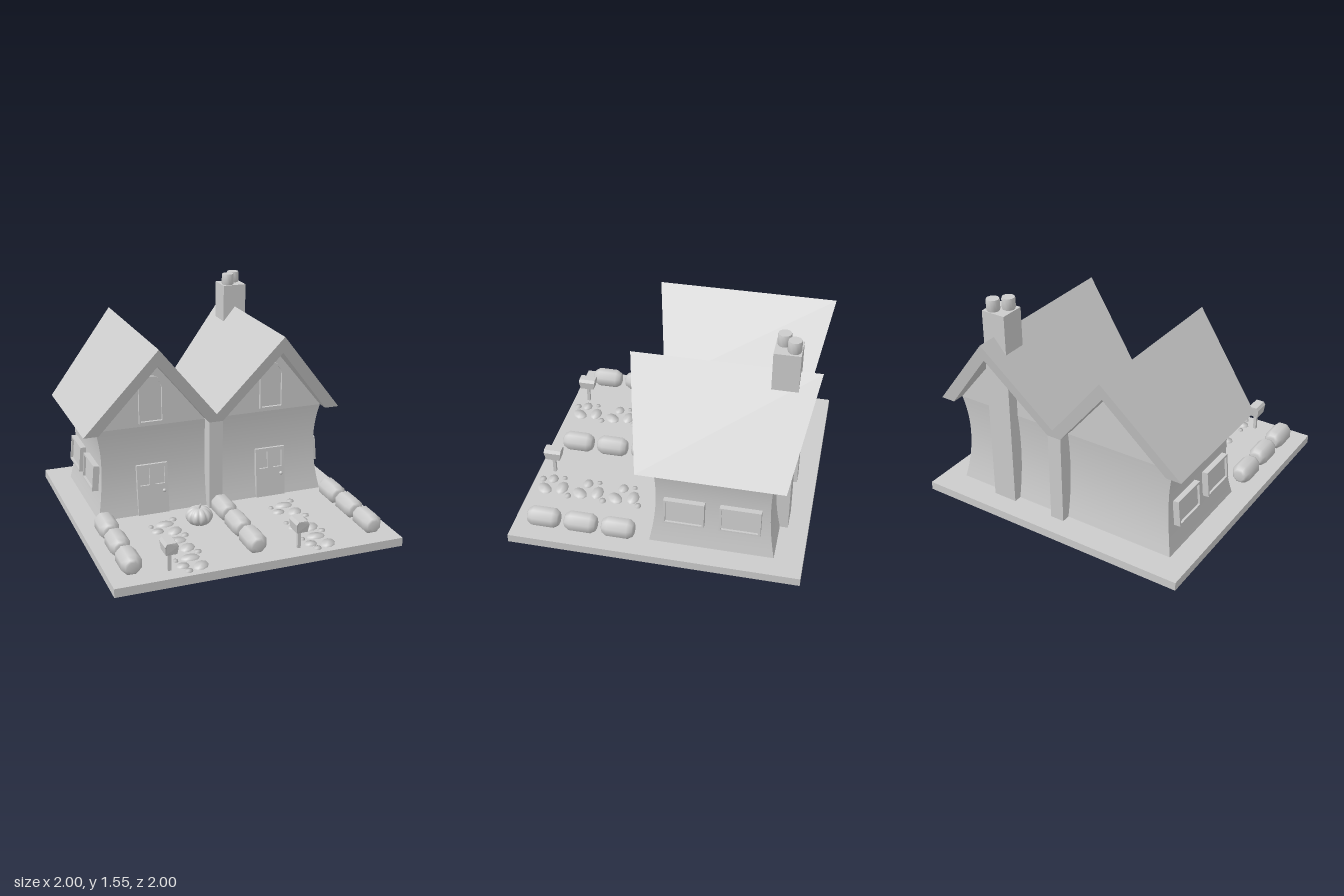
import * as THREE from 'three';
import { toCreasedNormals } from 'three/addons/utils/BufferGeometryUtils.js';

const MAT = new THREE.MeshStandardMaterial({ color: 0xcccccc });
const GROUND = 0.06, EAVE = 0.71, MID_Z = -0.38;

function add(parent, name, geo, x = 0, y = 0, z = 0) {
  const m = new THREE.Mesh(geo, MAT);
  m.name = name;
  m.position.set(x, y, z);
  parent.add(m);
  return m;
}

const polygon = pts => new THREE.Shape(pts.map(p => new THREE.Vector2(...p)));
const rect = (x0, y0, x1, y1) => polygon([[x0, y0], [x1, y0], [x1, y1], [x0, y1]]);
const extrude = (shape, depth) => new THREE.ExtrudeGeometry(shape, { depth, bevelEnabled: false, curveSegments: 8 });

// Box given by its minimum and maximum corners
function block(parent, name, [x0, y0, z0], [x1, y1, z1]) {
  return add(parent, name, new THREE.BoxGeometry(x1 - x0, y1 - y0, z1 - z0),
    (x0 + x1) / 2, (y0 + y1) / 2, (z0 + z1) / 2);
}

// Walls that pinch in at mid height and flare at foot and eaves
function wallGeometry() {
  const geo = new THREE.BoxGeometry(2, EAVE - GROUND, 2, 1, 14, 1);
  geo.translate(0, (EAVE + GROUND) / 2, 0);
  const p = geo.attributes.position;
  for (let i = 0; i < p.count; i++) {
    const y = p.getY(i), t = y > 0.44 ? (y - 0.44) / 0.27 : (0.44 - y) / 0.38;
    const f = t * t;
    p.setX(i, p.getX(i) * (0.803 + f * (y > 0.44 ? 0.037 : 0.042)));
    p.setZ(i, p.getZ(i) * (0.383 + f * (y > 0.44 ? 0.017 : 0.042)) + MID_Z);
  }
  geo.computeVertexNormals();
  return geo;
}

// Twin-gabled roof; its ends lean out towards the ridges
function roofGeometry() {
  const geo = extrude(polygon([
    [-0.945, 0.71], [-0.84, 0.71], [-0.45, 1.19], [-0.05, 0.71], [0.05, 0.71], [0.45, 1.19],
    [0.84, 0.71], [0.945, 0.71], [0.45, 1.31], [0, 0.77], [-0.45, 1.31]]), 1);
  const p = geo.attributes.position;
  for (let i = 0; i < p.count; i++) {
    const half = 0.487 + (p.getY(i) - EAVE) / 0.6 * 0.133;
    p.setZ(i, MID_Z + (p.getZ(i) > 0.5 ? half : -half));
  }
  geo.computeVertexNormals();
  return geo;
}

function arch(w, h, rise) {
  const s = new THREE.Shape();
  s.moveTo(-w, 0);
  s.lineTo(w, 0);
  s.lineTo(w, h - rise);
  s.bezierCurveTo(w * 0.85, h - rise * 0.3, w * 0.45, h, 0, h);
  s.bezierCurveTo(-w * 0.45, h, -w * 0.85, h - rise * 0.3, -w, h - rise);
  return s;
}

function door(parent, x) {
  const g = new THREE.Group();
  g.name = 'door';
  const leaf = rect(-0.112, 0, 0.112, 0.365);
  leaf.holes.push(rect(-0.09, 0.215, -0.02, 0.34), rect(0.02, 0.215, 0.09, 0.34));
  add(g, 'doorLeaf', extrude(leaf, 0.045), 0, 0, -0.025);
  add(g, 'doorPanels', new THREE.BoxGeometry(0.19, 0.14, 0.02), 0, 0.277, -0.006);
  add(g, 'doorKnob', new THREE.SphereGeometry(0.013, 12, 8), 0.08, 0.165, 0.028);
  g.position.set(x, GROUND, 0.04);
  g.rotation.x = -0.09;
  parent.add(g);
}

function archedWindow(parent, x) {
  const g = new THREE.Group();
  g.name = 'archedWindow';
  const frame = arch(0.088, 0.335, 0.08);
  frame.holes.push(new THREE.Path(arch(0.076, 0.311, 0.073).getPoints(8).map(p => p.setY(p.y + 0.012))));
  add(g, 'archedFrame', extrude(frame, 0.03));
  add(g, 'archedPane', extrude(arch(0.08, 0.325, 0.075), 0.01));
  g.position.set(x, 0.735, 0.012);
  parent.add(g);
}

function sideWindow(parent, side, z) {
  const g = new THREE.Group();
  g.name = 'sideWindow';
  const frame = rect(-0.138, -0.092, 0.138, 0.092);
  frame.holes.push(rect(-0.124, -0.078, 0.124, 0.078));
  add(g, 'windowFrame', extrude(frame, 0.045));
  add(g, 'windowPane', new THREE.BoxGeometry(0.26, 0.17, 0.028), 0, 0, 0.014);
  g.position.set(side * 0.808, 0.337, z);
  g.rotation.order = 'YXZ';
  g.rotation.set(-0.09, side * Math.PI / 2, 0);
  parent.add(g);
}

function mailbox(parent, x) {
  const g = new THREE.Group();
  g.name = 'mailbox';
  block(g, 'mailboxPost', [-0.011, GROUND, -0.011], [0.011, 0.2, 0.011]);
  const geo = extrude(polygon([[-0.038, 0.19], [0.038, 0.19], [0.045, 0.25], [0.03, 0.272], [-0.03, 0.272], [-0.045, 0.25]]), 0.124);
  geo.translate(0, 0, -0.062);
  const p = geo.attributes.position;
  for (let i = 0; i < p.count; i++) if (p.getY(i) < 0.2) p.setZ(i, p.getZ(i) * 0.83);
  geo.computeVertexNormals();
  add(g, 'mailboxBody', geo);
  g.position.set(x, 0, 0.883);
  parent.add(g);
}

// Ribbed fruit with a dimpled crown and bent stem
function pumpkin(parent, x, z) {
  const g = new THREE.Group();
  g.name = 'pumpkin';
  const geo = new THREE.SphereGeometry(1, 60, 20), p = geo.attributes.position;
  for (let i = 0; i < p.count; i++) {
    const a = Math.atan2(p.getZ(i), p.getX(i)), y = p.getY(i);
    const r = Math.hypot(p.getX(i), p.getZ(i));
    const rib = 0.85 + 0.15 * Math.sqrt(Math.abs(Math.sin(5 * a)));
    p.setXYZ(i, p.getX(i) * rib * 0.095, y * 0.068 - Math.sign(y) * 0.015 * Math.exp(-r * r * 12), p.getZ(i) * rib * 0.095);
  }
  geo.computeVertexNormals();
  add(g, 'pumpkinBody', geo, 0, 0.066, 0);
  const path = new THREE.QuadraticBezierCurve3(new THREE.Vector3(0, 0.11, 0),
    new THREE.Vector3(0, 0.135, 0), new THREE.Vector3(0.012, 0.15, 0.005));
  add(g, 'pumpkinStem', new THREE.TubeGeometry(path, 6, 0.007, 6));
  g.position.set(x, GROUND, z);
  parent.add(g);
}

// Eight-sided clipped hedge lying along z
const hedgeGeo = new THREE.LatheGeometry(
  [[0, -0.113], [0.036, -0.113], [0.052, -0.104], [0.073, -0.07], [0.073, 0.07], [0.052, 0.104], [0.036, 0.113], [0, 0.113]]
    .map(p => new THREE.Vector2(...p)), 8, Math.PI / 8);
hedgeGeo.rotateX(Math.PI / 2);

const stoneGeo = toCreasedNormals(new THREE.CylinderGeometry(0.87, 1, 0.012, 9), 0.5);

function stonePath(parent, x) {
  const g = new THREE.Group();
  g.name = 'stonePath';
  const stone = (sx, sz, rx, rz, turn = 0) => {
    const m = add(g, 'steppingStone', stoneGeo, x + sx, GROUND + 0.005, sz);
    m.scale.set(rx, 1, rz);
    m.rotation.y = turn;
  };
  for (let k = 0; k < 3; k++) {
    const d = k * 0.262;
    stone(0.015, 0.252 + d, 0.066, 0.045);
    stone(-0.066, 0.343 + d, 0.045, 0.038);
    stone(0.045, 0.375 + d, 0.066, 0.047, 0.8);
    stone(0.09, 0.2 + d * 0.98, 0.027, 0.025);
    stone(-0.088, 0.264 + d, 0.018, 0.02);
  }
  stone(-0.05, 0.94, 0.028, 0.026);
  parent.add(g);
}

export function createModel() {
  const model = new THREE.Group();
  model.name = 'twinCottage';

  block(model, 'groundSlab', [-1, 0, -1], [1, GROUND, 1]);
  add(model, 'walls', wallGeometry());
  add(model, 'roof', roofGeometry());
  block(model, 'partyWall', [-0.05, GROUND, -0.865], [0.05, 0.715, 0.105]);

  // Chimney running up the back wall, with two pots
  block(model, 'chimney', [0.36, GROUND, -0.86], [0.535, 1.475, -0.687]);
  const pot = toCreasedNormals(new THREE.LatheGeometry(
    [[0, 0], [0.042, 0], [0.045, 0.01], [0.045, 0.07], [0.042, 0.08], [0, 0.08]]
      .map(p => new THREE.Vector2(...p)), 20), 0.9);
  add(model, 'chimneyPot', pot, 0.412, 1.475, -0.74);
  add(model, 'chimneyPot', pot, 0.48, 1.475, -0.812);

  // Each half of the house with its front garden
  for (const side of [-1, 1]) {
    const x = side * 0.447;
    const gable = extrude(polygon([[-0.393, EAVE], [0.393, EAVE], [0, 1.192]]), 0.8);
    add(model, 'gable', gable, x, 0, -0.78);
    door(model, x);
    archedWindow(model, x);
    sideWindow(model, side, -0.193);
    sideWindow(model, side, -0.57);
    mailbox(model, x - 0.161);
    stonePath(model, x);
  }

  for (const x of [-0.845, 0, 0.84])
    for (let k = 0; k < 3; k++) add(model, 'hedge', hedgeGeo, x, 0.126, 0.26 + k * 0.262);
  pumpkin(model, -0.207, 0.325);

  return model;
}
